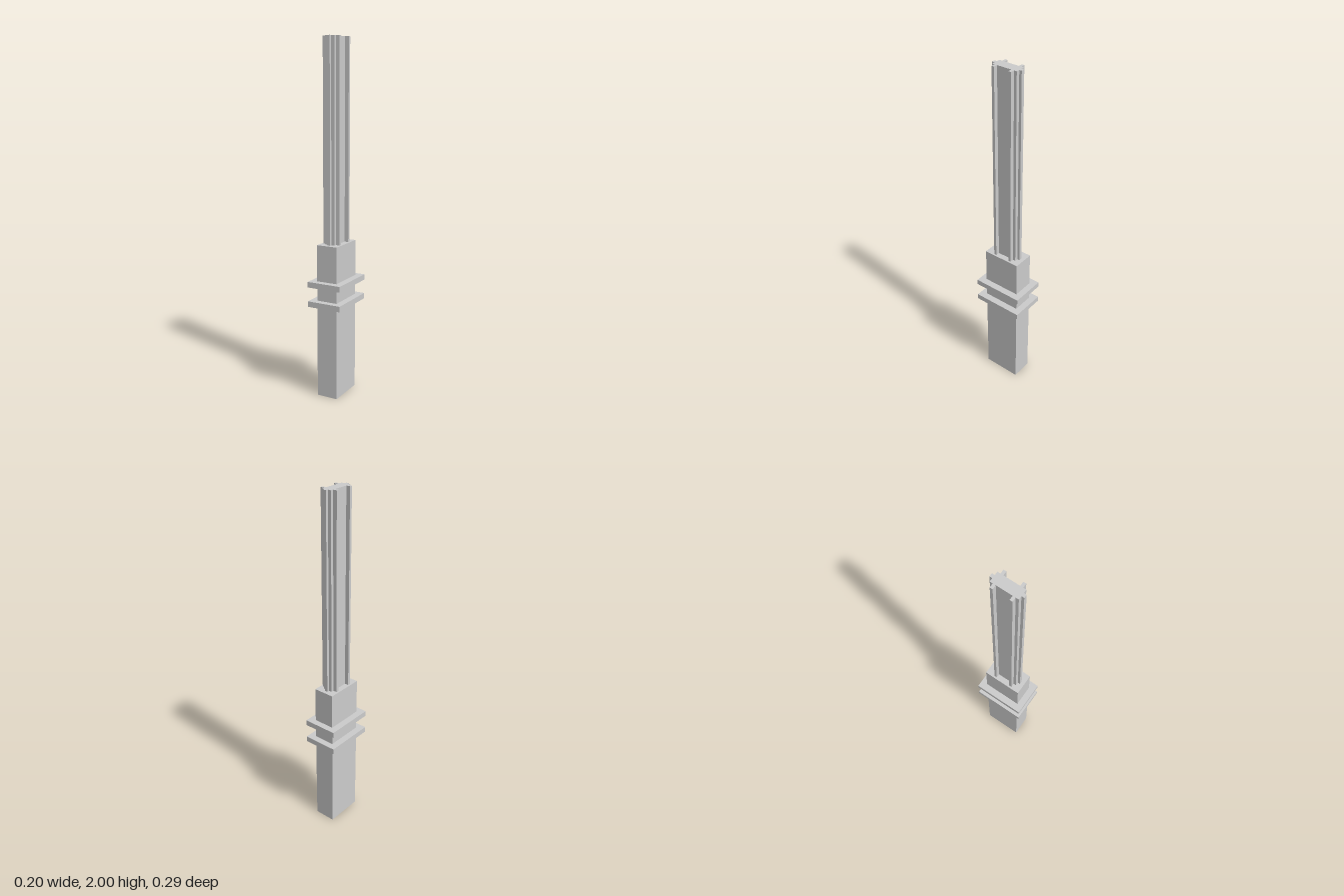
import * as THREE from 'three';

export function createModel() {
  const group = new THREE.Group();
  const material = new THREE.MeshStandardMaterial({ color: 0xcccccc, flatShading: true });

  const add = (name, geometry, y) => {
    const mesh = new THREE.Mesh(geometry, material);
    mesh.name = name;
    mesh.position.y = y;
    group.add(mesh);
  };

  // Rectangular handle block
  const handleTop = 0.882;
  add('handle', new THREE.BoxGeometry(0.123, handleTop, 0.22), handleTop / 2);

  // Two flat guard plates around the handle
  add('lowerGuard', new THREE.BoxGeometry(0.202, 0.032, 0.294), 0.548);
  add('upperGuard', new THREE.BoxGeometry(0.202, 0.032, 0.294), 0.66);

  // Stepped shaft section: one quarter outline, mirrored into all four
  const quarter = [
    [0.028, 0.043], [0.051, 0.043], [0.051, 0.058], [0.028, 0.058],
    [0.028, 0.074], [0.009, 0.074], [0.009, 0.0885],
  ];
  const mirror = (points, sx, sz) => points.map(([x, z]) => new THREE.Vector2(x * sx, z * sz));
  const reversed = [...quarter].reverse();
  const outline = [
    ...mirror(quarter, 1, 1),
    ...mirror(reversed, -1, 1),
    ...mirror(quarter, -1, -1),
    ...mirror(reversed, 1, -1),
  ];
  const shaft = new THREE.ExtrudeGeometry(new THREE.Shape(outline), {
    depth: 2 - handleTop,
    bevelEnabled: false,
  });
  shaft.rotateX(-Math.PI / 2);
  add('shaft', shaft, handleTop);

  return group;
}
